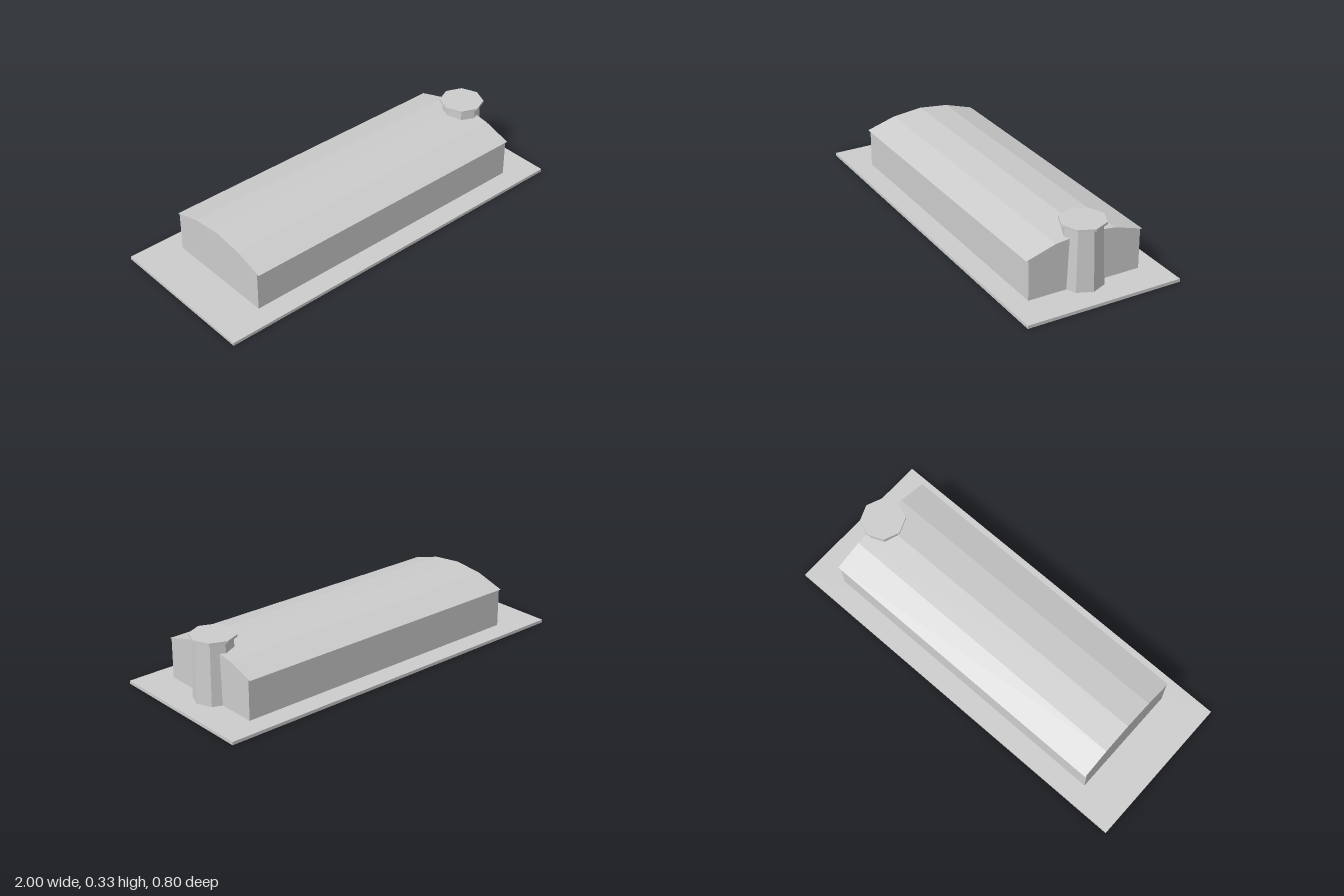
import * as THREE from 'three';

export function createModel() {
  const model = new THREE.Group();
  const grey = new THREE.MeshStandardMaterial({ color: 0xcccccc, flatShading: true });
  grey.name = 'plain grey';

  const add = (name, geometry, x, y, z = 0) => {
    const mesh = new THREE.Mesh(geometry, grey);
    mesh.name = name;
    mesh.position.set(x, y, z);
    model.add(mesh);
  };

  // Ground slab
  const slabTop = 0.016;
  add('groundSlab', new THREE.BoxGeometry(2, slabTop, 0.8), 0, slabTop / 2);

  // Long hall, with its ends flush with the roof
  const left = -0.775, length = 1.6, eave = 0.216;
  add('hallWalls', new THREE.BoxGeometry(length, eave - slabTop, 0.586),
    left + length / 2, (eave + slabTop) / 2);

  // Faceted barrel roof, slightly wider than the walls
  const profile = new THREE.Shape([
    [-0.305, 0], [0.305, 0], [0.155, 0.046], [0, 0.063], [-0.155, 0.046],
  ].map(([x, y]) => new THREE.Vector2(x, y)));
  const roof = new THREE.ExtrudeGeometry(profile, { depth: length, bevelEnabled: false });
  roof.rotateY(Math.PI / 2);
  add('roof', roof, left, eave);

  // Tapered octagonal tower set into the end wall, with a flat cap
  const towerX = 0.797, capBase = 0.322, top = 0.333;
  add('tower', new THREE.CylinderGeometry(0.094, 0.107, capBase - slabTop, 8),
    towerX, (capBase + slabTop) / 2);
  add('towerCap', new THREE.CylinderGeometry(0.112, 0.112, top - capBase, 8),
    towerX, (top + capBase) / 2);

  return model;
}
